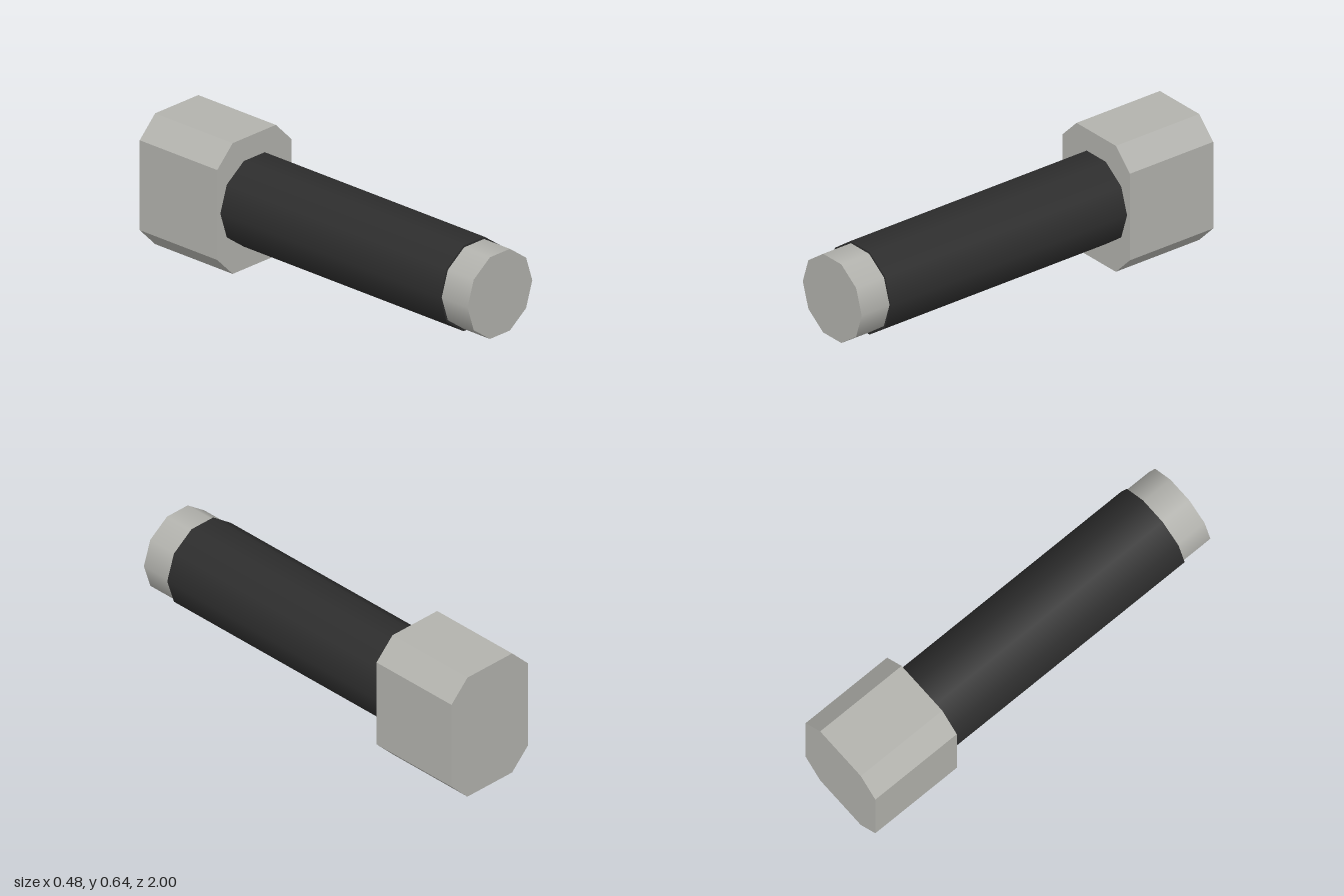
import * as THREE from 'three';

const AXIS_Y = 0.32;

// Ten-sided smooth rod along z, with corners pointing to +x and -x
function rod(name, radius, zBack, zFront, material) {
  const geometry = new THREE.CylinderGeometry(radius, radius, zFront - zBack, 10, 1, false, Math.PI / 2);
  geometry.rotateX(Math.PI / 2);
  const mesh = new THREE.Mesh(geometry, material);
  mesh.name = name;
  mesh.position.set(0, AXIS_Y, (zBack + zFront) / 2);
  return mesh;
}

export function createModel() {
  const metal = new THREE.MeshStandardMaterial({ color: 0xb2b2ad });
  metal.name = 'light grey metal';
  const grip = new THREE.MeshStandardMaterial({ color: 0x2d2d2d });
  grip.name = 'black grip';

  const model = new THREE.Group();
  model.name = 'handle';

  // Grip and the slightly narrower end cap in front of it
  model.add(rod('grip', 0.22, -0.52, 0.84, grip));
  model.add(rod('endCap', 0.21, 0.84, 1, metal));

  // Chamfered block at the back
  const w = 0.24, h = 0.32, c = 0.1;
  const outline = new THREE.Shape([
    [w - c, -h], [w, c - h], [w, h - c], [w - c, h],
    [c - w, h], [-w, h - c], [-w, c - h], [c - w, -h],
  ].map(([x, y]) => new THREE.Vector2(x, y)));
  const block = new THREE.Mesh(
    new THREE.ExtrudeGeometry(outline, { depth: 0.48, bevelEnabled: false }), metal);
  block.name = 'pommelBlock';
  block.position.set(0, AXIS_Y, -1);
  model.add(block);

  return model;
}
